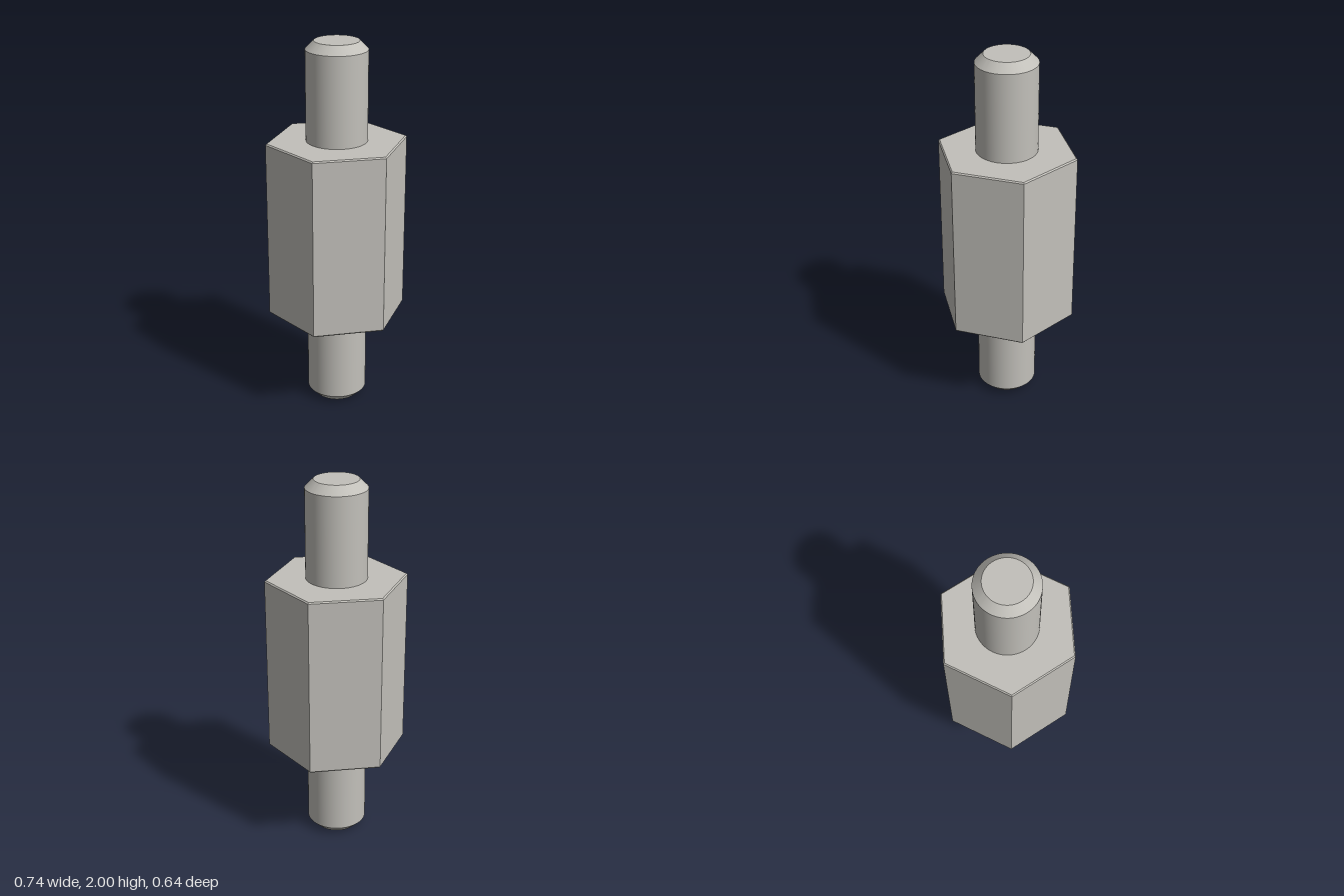
import * as THREE from 'three';
import { toCreasedNormals } from 'three/addons/utils/BufferGeometryUtils.js';

const steel = new THREE.MeshStandardMaterial({ color: 0xc2c0ba });
steel.name = 'steel';

// Solid of revolution with chamfered ends; six sides make a hexagonal prism
function chamferedBar(name, radius, bottom, top, chamferIn, chamferUp, sides) {
  const profile = [
    [0, bottom],
    [radius - chamferIn, bottom],
    [radius, bottom + chamferUp],
    [radius, top - chamferUp],
    [radius - chamferIn, top],
    [0, top],
  ].map(([r, y]) => new THREE.Vector2(r, y));
  const geometry = new THREE.LatheGeometry(profile, sides, Math.PI / 2);
  const mesh = new THREE.Mesh(toCreasedNormals(geometry, 0.4), steel);
  mesh.name = name;
  return mesh;
}

export function createModel() {
  const group = new THREE.Group();
  group.name = 'hexStandoff';

  // Round stud running the full height, with bevelled tips
  group.add(chamferedBar('stud', 0.16, 0, 2, 0.044, 0.044, 96));

  // Hexagonal body, corners on the x axis, edges barely broken
  group.add(chamferedBar('hexBody', 0.371, 0.518, 1.482, 0.007, 0.007, 6));

  return group;
}
